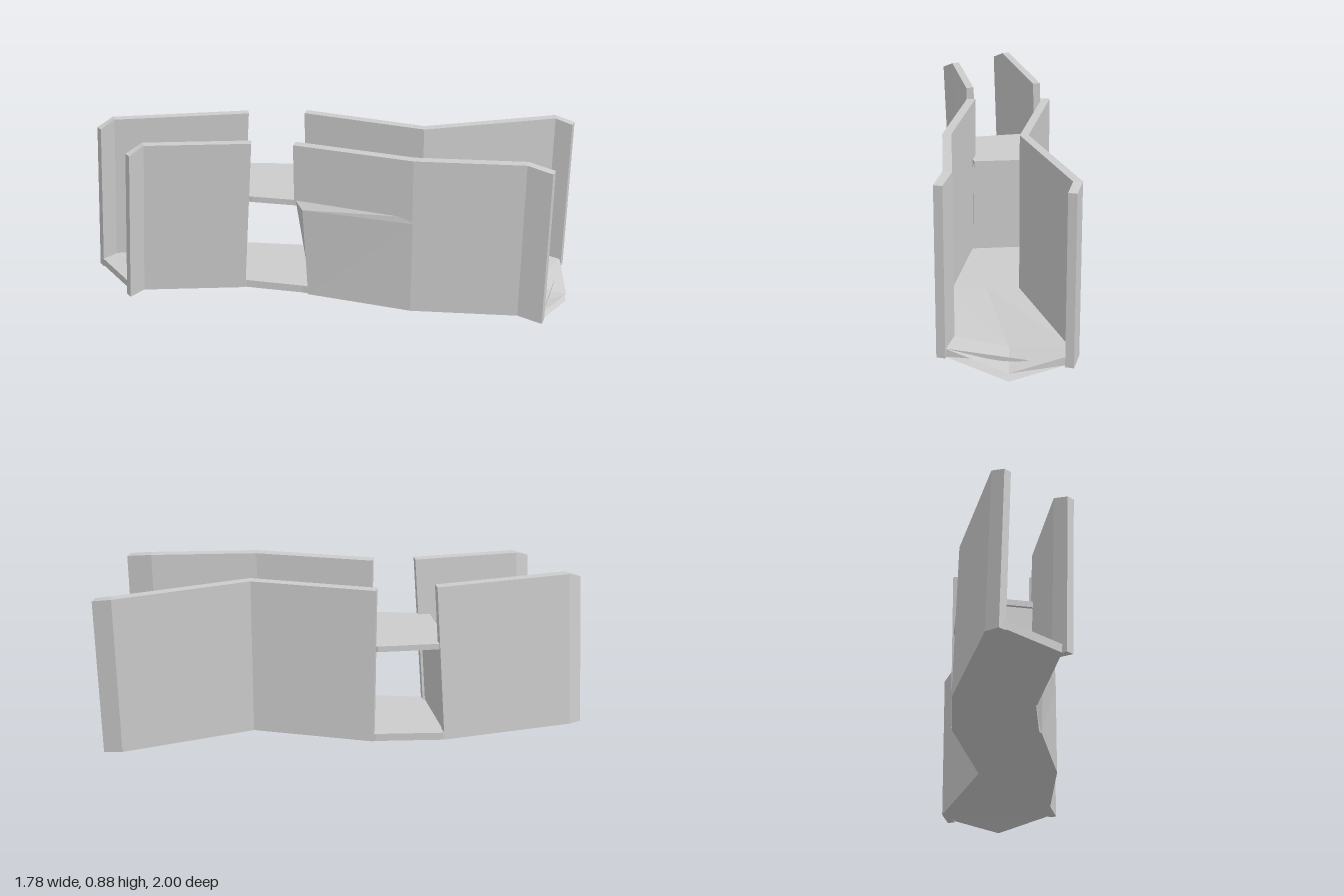
import * as THREE from 'three';

const grey = new THREE.MeshStandardMaterial({ color: 0xcccccc, flatShading: true });

// Closed solid through a row of equal-length rings of [x, y, z].
function loft(rings) {
  const pos = [];
  const tri = (...p) => p.forEach((v) => pos.push(...v));
  const n = rings[0].length;
  for (let i = 0; i < rings.length - 1; i++) {
    for (let k = 0; k < n; k++) {
      const [a, b] = [rings[i][k], rings[i][(k + 1) % n]];
      const [c, d] = [rings[i + 1][k], rings[i + 1][(k + 1) % n]];
      tri(a, d, b);
      tri(a, c, d);
    }
  }
  const last = rings[rings.length - 1];
  for (let k = 1; k < n - 1; k++) {
    tri(rings[0][0], rings[0][k], rings[0][k + 1]);
    tri(last[0], last[k + 1], last[k]);
  }
  const geo = new THREE.BufferGeometry();
  geo.setAttribute('position', new THREE.Float32BufferAttribute(pos, 3));
  geo.computeVertexNormals();
  return geo;
}

// Mitred wall along points [x, z, bottom, top]; lean shifts the upper part.
function wall(path, thickness, lean = 0) {
  const dir = (a, b) => new THREE.Vector2(b[0] - a[0], b[1] - a[1]).normalize();
  return loft(path.map((p, i) => {
    const d0 = dir(path[Math.max(i - 1, 0)], path[Math.max(i, 1)]);
    const d1 = dir(path[Math.min(i, path.length - 2)], path[Math.min(i + 1, path.length - 1)]);
    const d = d0.clone().add(d1).normalize();
    const h = thickness / 2 / d.dot(d0);
    const corner = (side, y) => {
      const s = lean * (y - 0.07) / 0.815;
      return [p[0] + d.y * h * side + 0.06 * s, y, p[1] - d.x * h * side - 0.03 * s];
    };
    return [corner(1, p[2]), corner(-1, p[2]), corner(-1, p[3]), corner(1, p[3])];
  }));
}

export function createModel() {
  const model = new THREE.Group();
  const add = (name, geo) => {
    const mesh = new THREE.Mesh(geo, grey);
    mesh.name = name;
    model.add(mesh);
  };
  const B = 0.07, T = 0.885, D = 0.57;

  // leaning walls of the front section, their chamfered tips turned straight ahead
  add('frontRightWall', wall([
    [-0.548, 0.305, B, T], [-0.87, 0.89, B, T], [-0.87, 0.97, 0.055, 0.85]], 0.038, 1));
  add('frontLeftWall', wall([
    [-0.237, 0.482, B, T], [-0.515, 0.915, B, T], [-0.515, 0.998, 0.055, 0.85]], 0.038, 1));

  // bent walls of the rear section, with short flared tips
  add('rearRightWall', wall([
    [-0.325, 0.04, B, T], [0.172, -0.322, B, T], [0.445, -0.935, B, T], [0.525, -0.983, 0.055, 0.865]], 0.04));
  add('rearLeftUpperWall', wall([
    [-0.045, 0.293, D, T], [0.425, -0.065, D, T], [0.765, -0.465, D, T], [0.875, -0.53, D, 0.865]], 0.042));
  add('rearLeftLowerWall', wall([
    [0.006, 0.254, B, D], [0.425, -0.065, B, D], [0.765, -0.465, B, D], [0.875, -0.53, 0.055, D]], 0.042));

  // ledge that tapers out along the rear left wall
  add('ledge', loft([
    [[0.0, B, 0.24], [0.02, B, 0.272], [0.02, 0.555, 0.298], [-0.025, 0.59, 0.305], [-0.03, 0.59, 0.26]],
    [[0.42, B, -0.08], [0.44, B, -0.051], [0.442, 0.555, -0.05], [0.438, 0.59, -0.053], [0.42, 0.59, -0.08]],
  ]));

  // raised deck bridging the side openings
  const plan = [[-0.34, 0.04], [-0.24, 0], [0.02, 0.2], [-0.03, 0.3], [-0.185, 0.455],
    [-0.25, 0.5], [-0.5, 0.35], [-0.52, 0.28]];
  const deck = new THREE.ExtrudeGeometry(
    new THREE.Shape(plan.map(([x, z]) => new THREE.Vector2(x, -z))), { depth: 0.03, bevelEnabled: false });
  deck.rotateX(-Math.PI / 2).translate(0, 0.56, 0);
  add('deck', deck);

  // cross walls under both ends of the deck
  add('rearCrossWall', wall([[-0.28, 0.0, 0.09, 0.57], [0.01, 0.223, 0.09, 0.57]], 0.03));
  add('frontCrossWall', wall([[-0.55, 0.325, 0.09, 0.588], [-0.25, 0.505, 0.09, 0.588]], 0.03, 1));

  // floor sections: right x z, left x z, edge height, then middle x z and height
  const sections = [
    [-0.87, 0.97, -0.51, 0.97, 0.06, -0.69, 0.97, 0.06],
    [-0.86, 0.88, -0.51, 0.9, B, -0.685, 0.89, B],
    [-0.56, 0.29, -0.22, 0.485, B, -0.39, 0.39, B],
    [-0.34, 0.035, -0.01, 0.285, B, -0.175, 0.16, B],
    [0.165, -0.33, 0.435, -0.055, B, 0.3, -0.19, B],
    [0.45, -0.93, 0.77, -0.46, B, 0.61, -0.69, 0.035],
    [0.53, -0.96, 0.86, -0.54, 0.06, 0.735, -0.82, 0.0],
  ];
  add('floor', loft(sections.map(([rx, rz, lx, lz, y, mx, mz, my]) => [
    [rx, y, rz], [mx, my, mz], [lx, y, lz],
    [lx, y + 0.04, lz], [mx, my + 0.04, mz], [rx, y + 0.04, rz]])));

  return model;
}
